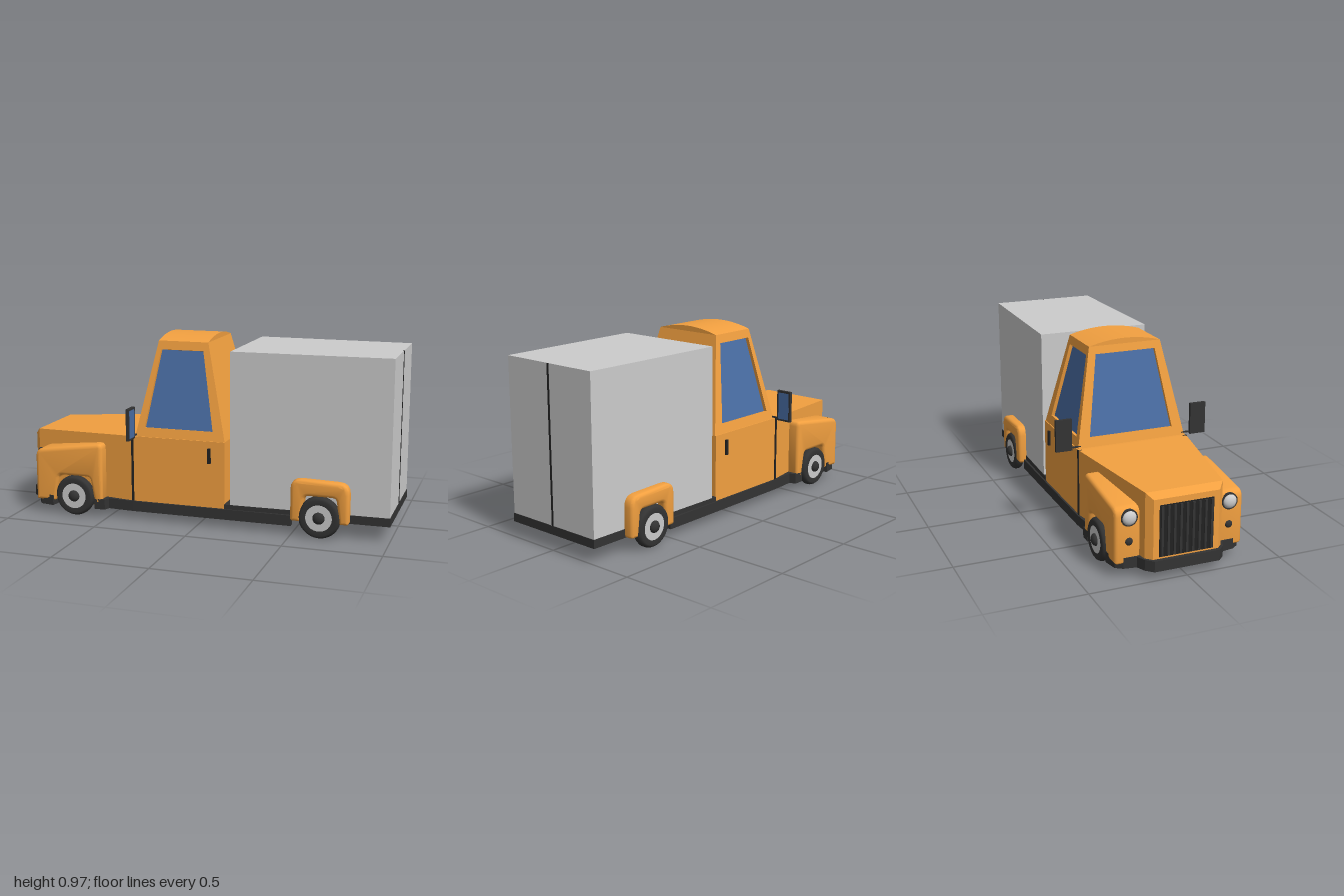
import * as THREE from 'three';
import { toCreasedNormals } from 'three/addons/utils/BufferGeometryUtils.js';
import { ConvexGeometry } from 'three/addons/geometries/ConvexGeometry.js';

const mat = (color, side = THREE.FrontSide) => new THREE.MeshStandardMaterial({ color, side });
const ORANGE = mat(0xf2a040), ORANGE2 = mat(0xf2a040, THREE.DoubleSide);
const GREY = mat(0xcccccc), DARK = mat(0x333333), BLACK = mat(0x222222);
const GLASS = mat(0x4a6ea5, THREE.DoubleSide);

function add(parent, name, geometry, material, x = 0, y = 0, z = 0) {
  const mesh = new THREE.Mesh(geometry, material);
  mesh.name = name;
  mesh.position.set(x, y, z);
  parent.add(mesh);
  return mesh;
}

// box given by its limits on each axis
function block(parent, name, material, [x0, x1], [y0, y1], [z0, z1]) {
  return add(parent, name, new THREE.BoxGeometry(x1 - x0, y1 - y0, z1 - z0), material,
    (x0 + x1) / 2, (y0 + y1) / 2, (z0 + z1) / 2);
}

// convex solid from stations [x, yBottom, yTop, halfWidth]
function hull(stations) {
  const pts = [];
  for (const [x, y0, y1, w] of stations)
    for (const y of [y0, y1]) for (const z of [-w, w]) pts.push(new THREE.Vector3(x, y, z));
  return new ConvexGeometry(pts);
}

// polygon with rounded corners; each point is [x, y, radius]
function roundedShape(points) {
  const shape = new THREE.Shape();
  const n = points.length;
  points.forEach(([x, y, r], i) => {
    const p = new THREE.Vector2(x, y);
    const toward = (q) => new THREE.Vector2(q[0], q[1]).sub(p).setLength(r).add(p);
    const a = toward(points[(i + n - 1) % n]), b = toward(points[(i + 1) % n]);
    if (i === 0) shape.moveTo(a.x, a.y); else shape.lineTo(a.x, a.y);
    shape.quadraticCurveTo(x, y, b.x, b.y);
  });
  shape.closePath();
  return shape;
}

function fender(parent, name, outline, z0, z1) {
  const bevel = 0.018;
  const geo = new THREE.ExtrudeGeometry(roundedShape(outline), {
    depth: z1 - z0 - 2 * bevel, bevelSize: bevel, bevelThickness: bevel, bevelOffset: -bevel,
    bevelSegments: 3, curveSegments: 4,
  });
  add(parent, name, toCreasedNormals(geo, 0.6), ORANGE, 0, 0, z0 + bevel);
}

// four-cornered panel (seen counter-clockwise) with a recessed window
function windowPanel(parent, name, corners, [u0, u1, v0, v1], depth = 0.018) {
  const [a, b, c, d] = corners.map((p) => new THREE.Vector3(...p));
  const at = (u, v) => a.clone().lerp(b, u).lerp(d.clone().lerp(c, u), v);
  const inward = b.clone().sub(a).cross(d.clone().sub(a)).setLength(-depth);
  const outer = [a, b, c, d];
  const rim = [at(u0, v0), at(u1, v0), at(u1, v1), at(u0, v1)];
  const sunk = rim.map((p) => p.clone().add(inward));
  const tri = [];
  const quad = (p, q, r, s) => tri.push(p, q, r, p, r, s);
  for (let i = 0; i < 4; i++) {
    const j = (i + 1) % 4;
    quad(outer[i], outer[j], rim[j], rim[i]);
    quad(rim[i], rim[j], sunk[j], sunk[i]);
  }
  const frame = new THREE.BufferGeometry().setFromPoints(tri);
  frame.computeVertexNormals();
  add(parent, name + 'Frame', frame, ORANGE2);
  const pane = new THREE.BufferGeometry().setFromPoints(
    [sunk[0], sunk[1], sunk[2], sunk[0], sunk[2], sunk[3]]);
  pane.computeVertexNormals();
  add(parent, name + 'Glass', pane, GLASS);
}

function wheel(parent, name, x) {
  const g = new THREE.Group();
  g.name = name;
  g.position.set(x, 0.108, 0.318);
  parent.add(g);
  const profile = [[0.068, -0.024], [0.092, -0.027], [0.102, -0.02], [0.108, -0.008],
    [0.108, 0.008], [0.102, 0.02], [0.092, 0.027], [0.068, 0.024]];
  add(g, 'tyre', new THREE.LatheGeometry(profile.map((p) => new THREE.Vector2(...p)), 32), DARK)
    .rotation.x = Math.PI / 2;
  add(g, 'rim', new THREE.CylinderGeometry(0.071, 0.071, 0.046, 32), GREY).rotation.x = Math.PI / 2;
  add(g, 'hubCap', new THREE.SphereGeometry(0.031, 20, 12), DARK, 0, 0, 0.023).scale.z = 0.7;
}

export function createModel() {
  const truck = new THREE.Group();
  truck.name = 'boxTruck';

  // hood and lower cab
  add(truck, 'lowerBody', hull([[-0.98, 0.042, 0.4, 0.17], [-0.95, 0.042, 0.43, 0.2],
    [-0.36, 0.042, 0.45, 0.3], [0.145, 0.042, 0.45, 0.3]]), ORANGE);

  // bumper and side skirts in plan, mirrored about the centre line
  const half = [[-1, 0.17], [-0.965, 0.205], [-0.92, 0.225], [-0.91, 0.29], [-0.885, 0.325],
    [-0.81, 0.34], [-0.795, 0.25], [-0.575, 0.268], [-0.57, 0.335], [-0.51, 0.335], [-0.5, 0.3],
    [-0.36, 0.31], [0.5, 0.31], [0.5, 0.275], [0.15, 0.275]];
  const plan = [...half, ...half.map(([x, z]) => [x, -z]).reverse()].map((p) => new THREE.Vector2(...p));
  add(truck, 'bumperAndSkirts', new THREE.ExtrudeGeometry(new THREE.Shape(plan),
    { depth: 0.055, bevelEnabled: false }), DARK, 0, 0.1, 0).rotation.x = Math.PI / 2;

  // grille
  block(truck, 'grilleBack', BLACK, [-0.984, -0.97], [0.11, 0.37], [-0.14, 0.14]);
  for (let i = 0; i < 9; i++) {
    const z = -0.128 + i * 0.032;
    block(truck, 'grilleSlat', DARK, [-0.992, -0.98], [0.115, 0.365], [z - 0.006, z + 0.006]);
  }

  // upper cab: base and top rectangles joined by sloping panels
  const bx0 = -0.345, bx1 = 0.145, bw = 0.295, by = 0.449;
  const tx0 = -0.245, tx1 = 0.025, tw = 0.195, ty = 0.945;
  windowPanel(truck, 'windscreen', [[bx0, by, -bw], [bx0, by, bw], [tx0, ty, tw], [tx0, ty, -tw]],
    [0.1, 0.9, 0.1, 0.92]);
  const back = new THREE.BufferGeometry().setFromPoints([[bx1, by, bw], [bx1, by, -bw], [tx1, ty, -tw],
    [bx1, by, bw], [tx1, ty, -tw], [tx1, ty, tw]].map((p) => new THREE.Vector3(...p)));
  back.computeVertexNormals();
  add(truck, 'cabBack', back, ORANGE2);

  // arched roof
  const arch = new THREE.Shape();
  arch.moveTo(-tw, 0.935);
  arch.lineTo(tw, 0.935);
  for (let i = 0; i <= 16; i++) {
    const t = 1 - i / 8;
    arch.lineTo(tw * t, ty + 0.028 * (1 - t * t));
  }
  const roof = new THREE.ExtrudeGeometry(arch, { depth: tx1 - tx0, bevelEnabled: false });
  add(truck, 'roof', toCreasedNormals(roof, 0.4), ORANGE, tx0, 0, 0).rotation.y = Math.PI / 2;

  // cargo box and its bed, slightly narrower at the tail
  add(truck, 'cargoBox', hull([[0.175, 0.12, 0.92, 0.301], [0.997, 0.12, 0.92, 0.285]]), GREY);
  add(truck, 'cargoBed', hull([[0.145, 0.08, 0.124, 0.303], [1, 0.08, 0.124, 0.288]]), DARK);
  block(truck, 'rearDoorSeam', BLACK, [0.99, 0.999], [0.124, 0.92], [-0.006, 0.006]);

  // everything that comes in left and right pairs
  for (const s of [1, -1]) {
    const side = new THREE.Group();
    side.name = s > 0 ? 'leftSide' : 'rightSide';
    side.scale.z = s;
    truck.add(side);

    windowPanel(side, 'sideWindow', [[bx0, by, bw], [bx1, by, bw], [tx1, ty, tw], [tx0, ty, tw]],
      [0.085, 0.88, 0.1, 0.91]);
    block(side, 'doorSeam', BLACK, [-0.366, -0.354], [0.1, 0.45], [0.28, 0.304]);
    block(side, 'doorHandle', BLACK, [0.057, 0.072], [0.335, 0.415], [0.295, 0.312]);

    fender(side, 'frontFender', [[-0.91, 0.07, 0.01], [-0.91, 0.348, 0.04], [-0.525, 0.4, 0.03],
      [-0.525, 0.07, 0.01], [-0.57, 0.07, 0.01], [-0.595, 0.215, 0.02], [-0.775, 0.215, 0.02],
      [-0.8, 0.07, 0.01]], 0.2, 0.335);
    fender(side, 'rearFender', [[0.5, 0.08, 0.015], [0.5, 0.3, 0.055], [0.8, 0.29, 0.055],
      [0.8, 0.08, 0.015], [0.752, 0.08, 0.01], [0.735, 0.215, 0.02], [0.575, 0.215, 0.02],
      [0.555, 0.08, 0.01]], 0.265, 0.34);

    wheel(side, 'frontWheel', -0.685);
    wheel(side, 'rearWheel', 0.65);

    // lamps
    add(side, 'headlightRing', new THREE.CylinderGeometry(0.042, 0.042, 0.014, 24), DARK, -0.908, 0.3, 0.262)
      .rotation.z = Math.PI / 2;
    add(side, 'headlight', new THREE.SphereGeometry(0.036, 20, 12), GREY, -0.912, 0.3, 0.262).scale.x = 0.6;
    add(side, 'signalLamp', new THREE.SphereGeometry(0.02, 16, 10), DARK, -0.908, 0.18, 0.262).scale.x = 0.6;

    // mirror
    block(side, 'mirrorArm', DARK, [-0.343, -0.335], [0.457, 0.464], [0.28, 0.34]);
    block(side, 'mirrorCase', DARK, [-0.348, -0.332], [0.448, 0.614], [0.328, 0.414]);
    block(side, 'mirrorGlass', GLASS, [-0.336, -0.331], [0.458, 0.603], [0.338, 0.404]);
  }
  return truck;
}
